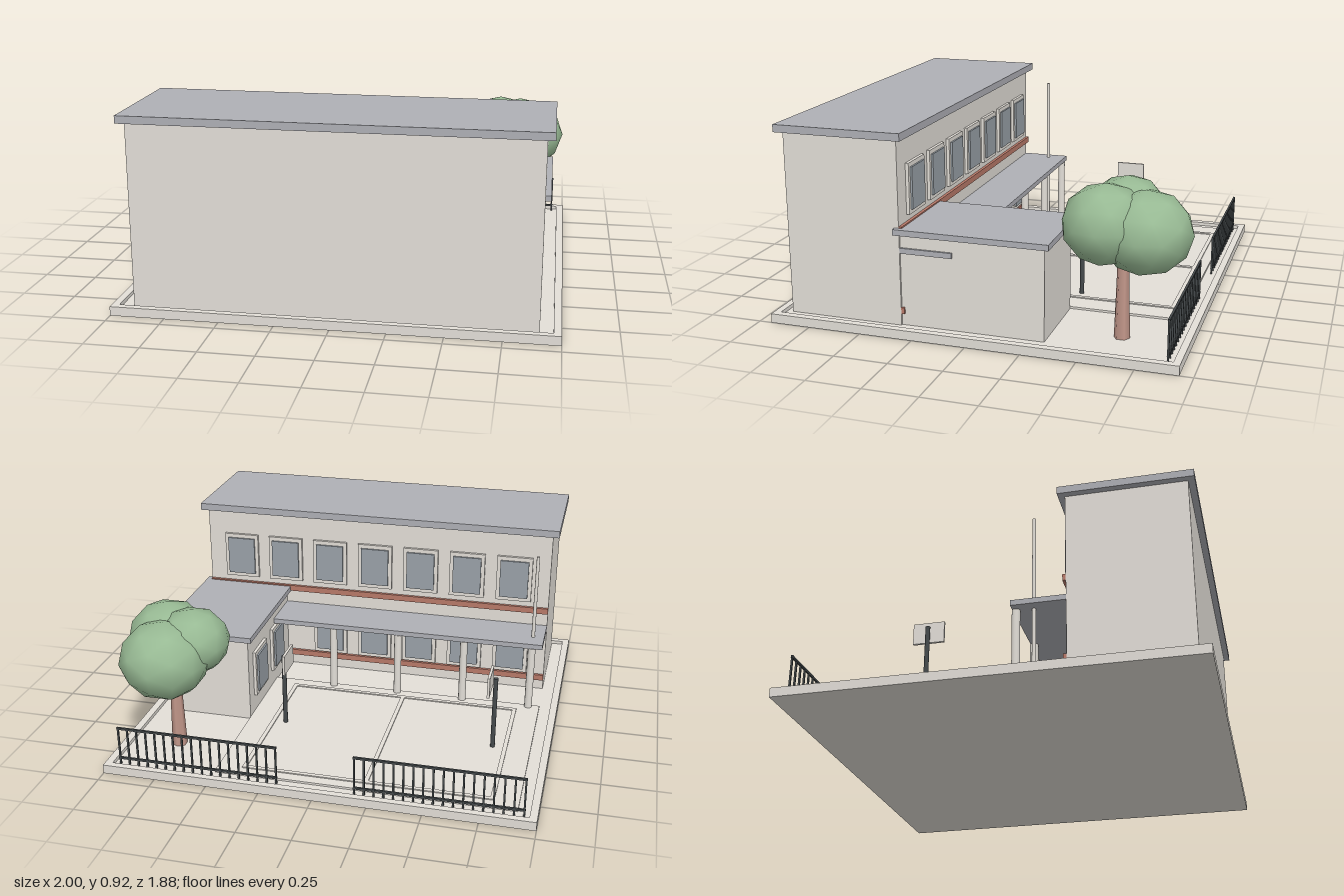
import * as THREE from 'three';

const mat = (name, color) => {
  const m = new THREE.MeshStandardMaterial({ color });
  m.name = name;
  return m;
};

export function createModel() {
  const model = new THREE.Group();
  model.name = 'schoolYard';
  const concrete = mat('concrete', 0xe3dfd8);
  const roofGrey = mat('roof grey', 0xafb0b6);
  const brick = mat('brick', 0xb97a6a);
  const glass = mat('window glass', 0x9aa2a9);
  const darkMetal = mat('dark metal', 0x454a4c);
  const leaf = mat('leaf green', 0x98ba94);
  const bark = mat('bark', 0xc2978a);

  const add = (name, geometry, material, parent = model) => {
    const mesh = new THREE.Mesh(geometry, material);
    mesh.name = name;
    parent.add(mesh);
    return mesh;
  };
  // Box given by its extents along each axis
  const box = (name, material, [x0, x1], [y0, y1], [z0, z1], parent) => {
    const mesh = add(name, new THREE.BoxGeometry(x1 - x0, y1 - y0, z1 - z0), material, parent);
    mesh.position.set((x0 + x1) / 2, (y0 + y1) / 2, (z0 + z1) / 2);
  };
  // Upright cylinder standing between two heights
  const post = (name, material, x, z, y0, y1, rTop, rBottom = rTop, sides = 12, parent = model) => {
    const mesh = add(name, new THREE.CylinderGeometry(rTop, rBottom, y1 - y0, sides), material, parent);
    mesh.position.set(x, (y0 + y1) / 2, z);
  };
  const group = (name) => {
    const g = new THREE.Group();
    g.name = name;
    model.add(g);
    return g;
  };

  // Ground slab with a raised kerb, and the sports court inside it
  const ground = 0.026;
  box('groundSlab', concrete, [-1, 1], [0, ground], [-0.94, 0.94]);
  const kerb = group('kerb');
  for (const s of [-1, 1]) {
    const a = s * 0.965, b = s, c = s * 0.908, d = s * 0.94;
    box('kerbSide', concrete, [Math.min(a, b), Math.max(a, b)], [ground, 0.043], [-0.94, 0.94], kerb);
    box('kerbEnd', concrete, [-0.965, 0.965], [ground, 0.043], [Math.min(c, d), Math.max(c, d)], kerb);
  }
  box('court', concrete, [-0.91, 0.485], [ground, 0.036], [-0.85, 0.12]);
  const lines = group('courtLines');
  const ly = [0.036, 0.041];
  for (const x of [-0.79, -0.215, 0.36]) box('courtLine', concrete, [x - 0.01, x + 0.01], ly, [-0.78, 0.04], lines);
  for (const z of [-0.79, 0.05]) box('courtLine', concrete, [-0.8, 0.37], ly, [z - 0.01, z + 0.01], lines);

  // Main block and side wing with overhanging flat roofs
  box('mainBlock', concrete, [-0.906, 0.906], [ground, 0.88], [0.335, 0.88]);
  box('mainRoof', roofGrey, [-0.938, 0.938], [0.88, 0.915], [0.305, 0.91]);
  box('sideWing', concrete, [0.485, 0.896], [ground, 0.455], [-0.33, 0.336]);
  box('wingRoof', roofGrey, [0.46, 0.932], [0.455, 0.482], [-0.358, 0.355]);

  // Brick bands below each row of windows
  for (const y of [0.08, 0.458]) box('brickBand', brick, [-0.906, 0.906], [y, y + 0.03], [0.32, 0.335]);

  // Covered walkway
  box('canopy', roofGrey, [-0.906, 0.906], [0.365, 0.39], [0.09, 0.335]);
  for (let i = 0; i < 4; i++) post('canopyPost', concrete, -0.853 + i * 0.34, 0.104, ground, 0.366, 0.019);

  // Window: shallow frame with a raised pane, facing -z before turning
  const addWindow = (x, y, z, turn) => {
    const w = group('window');
    box('windowFrame', concrete, [-0.09, 0.09], [-0.118, 0.118], [-0.015, 0.002], w);
    box('windowPane', glass, [-0.072, 0.072], [-0.098, 0.098], [-0.024, -0.015], w);
    w.position.set(x, y, z);
    w.rotation.y = turn;
  };
  for (let i = -3; i <= 3; i++) {
    addWindow(i * 0.2417, 0.636, 0.335, 0);
    if (i < 2) addWindow(i * 0.2417, 0.235, 0.335, 0);
  }
  for (const z of [-0.17, 0.11]) addWindow(0.485, 0.24, z, Math.PI / 2);

  // Flagpole
  post('flagpole', concrete, -0.85, 0.183, ground, 0.82, 0.008, 0.01);

  // Basketball stands at both ends of the court
  for (const [poleX, boardX] of [[-0.73, -0.705], [0.3, 0.28]]) {
    const stand = group('basketballStand');
    post('standPole', darkMetal, poleX, -0.336, ground, 0.4, 0.011, 0.011, 10, stand);
    box('backboard', concrete, [boardX - 0.006, boardX + 0.006], [0.33, 0.43], [-0.41, -0.265], stand);
  }

  // Railings either side of the gate
  for (const x0 of [-0.945, 0.175]) {
    const fence = group('fence');
    const x1 = x0 + 0.767;
    for (const y of [0.058, 0.213]) box('fenceRail', darkMetal, [x0, x1], [y - 0.005, y + 0.005], [-0.885, -0.875], fence);
    for (let i = 0; i < 18; i++) {
      const x = x0 + 0.005 + (i * 0.757) / 17;
      box('fenceBar', darkMetal, [x - 0.004, x + 0.004], [ground, 0.217], [-0.884, -0.876], fence);
    }
  }

  // Tree with three slightly flattened crowns
  post('treeTrunk', bark, 0.74, -0.637, ground, 0.48, 0.023, 0.036, 6);
  for (const [x, y, z, r, ry] of [
    [0.745, 0.52, -0.73, 0.21, 0.185],
    [0.785, 0.552, -0.565, 0.192, 0.18],
    [0.643, 0.578, -0.628, 0.174, 0.155],
  ]) {
    const crown = new THREE.IcosahedronGeometry(r, 1).scale(1, ry / r, 1);
    add('treeCrown', crown, leaf).position.set(x, y, z);
  }

  return model;
}
